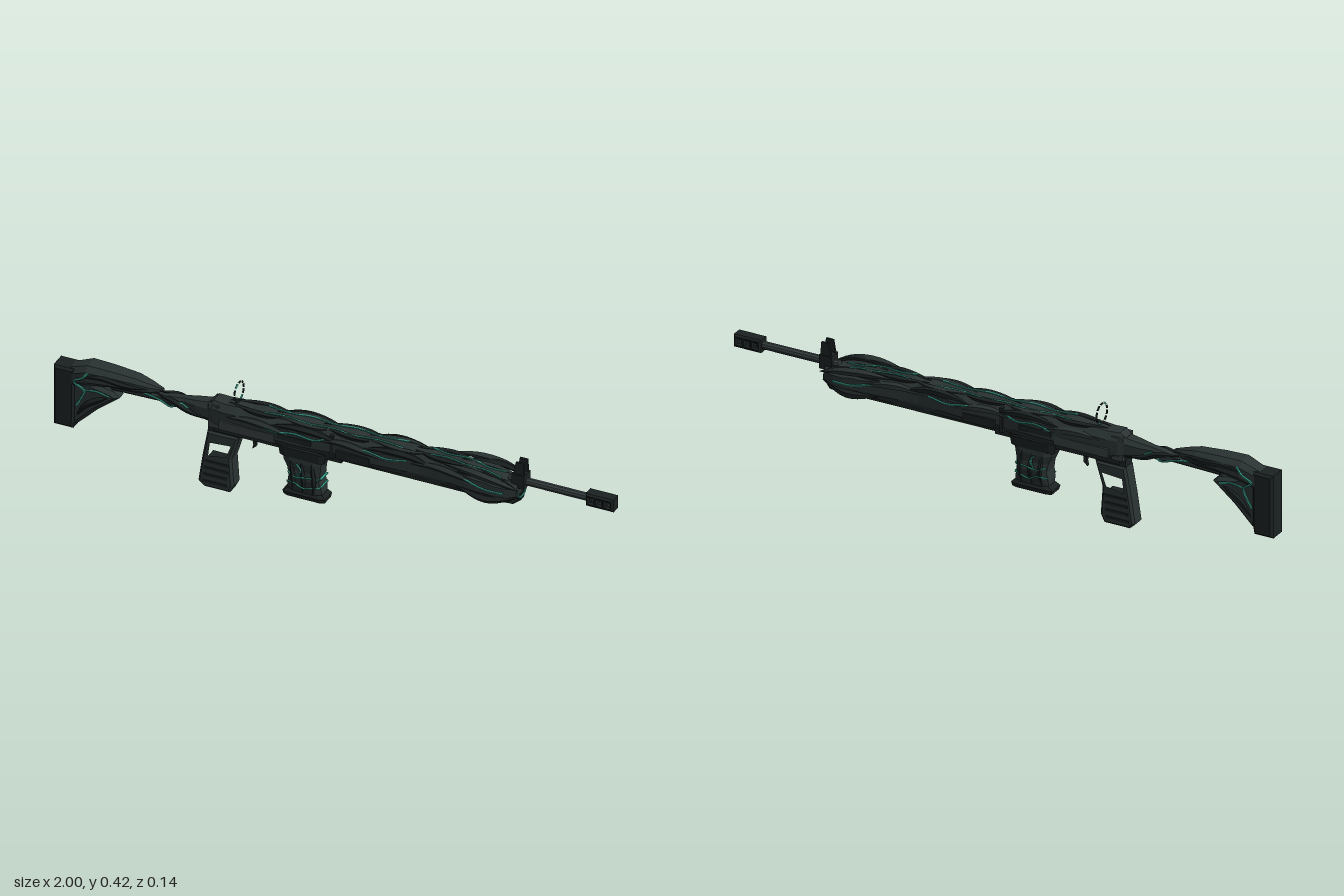
import * as THREE from 'three';

export function createModel() {
  const model = new THREE.Group();
  const mat = (name, color) => {
    const m = new THREE.MeshStandardMaterial({ color, flatShading: true });
    m.name = name;
    return m;
  };
  const shell = mat('dark shell', 0x2a3232);
  const dark = mat('deep shadow metal', 0x1b2121);
  const steel = mat('gunmetal', 0x343c3c);
  const teal = mat('teal vein', 0x37a08c);

  const add = (name, geo, material, x = 0, y = 0, z = 0) => {
    const m = new THREE.Mesh(geo, material);
    m.name = name;
    m.position.set(x, y, z);
    model.add(m);
    return m;
  };
  const box = (name, material, x, y, z, w, h, d) =>
    add(name, new THREE.BoxGeometry(w, h, d), material, x, y, z);

  // Chamfered cross-sections [x, bottom, top, halfWidth] joined along x
  function loft(sections, c = 0.25) {
    const pos = [], idx = [], n = 8;
    for (const [x, lo, hi, w] of sections) {
      const k = (hi - lo) * c, v = w * (1 - c * 1.6);
      for (const [y, z] of [[lo + k, w], [hi - k, w], [hi, v], [hi, -v],
        [hi - k, -w], [lo + k, -w], [lo, -v], [lo, v]]) pos.push(x, y, z);
    }
    const last = (sections.length - 1) * n;
    for (let s = 0; s < last; s += n) for (let j = 0; j < n; j++) {
      const a = s + j, b = s + (j + 1) % n;
      idx.push(a, a + n, b + n, a, b + n, b);
    }
    for (let j = 1; j < n - 1; j++) idx.push(0, j, j + 1, last, last + j + 1, last + j);
    let g = new THREE.BufferGeometry();
    g.setAttribute('position', new THREE.Float32BufferAttribute(pos, 3));
    g.setIndex(idx);
    g = g.toNonIndexed();
    g.computeVertexNormals();
    return g;
  }

  // Side profile extruded across z, with bevelled edges
  function plate(points, width, bevel = 0.006, holes = []) {
    const v = (list) => list.map(([x, y]) => new THREE.Vector2(x, y));
    const s = new THREE.Shape(v(points));
    holes.forEach((h) => s.holes.push(new THREE.Path(v(h))));
    const g = new THREE.ExtrudeGeometry(s, { depth: width - 2 * bevel, bevelEnabled: bevel > 0,
      bevelThickness: bevel, bevelSize: bevel, bevelOffset: -bevel, bevelSegments: 1 });
    g.translate(0, 0, -width / 2 + bevel);
    return g;
  }

  // Strand that swells in the middle and tapers at both ends
  function strand(name, pts, r, material, taper = true) {
    const curve = new THREE.CatmullRomCurve3(pts.map((p) => new THREE.Vector3(...p)));
    const seg = pts.length * 4, g = new THREE.TubeGeometry(curve, seg, r, 5, false);
    if (taper) {
      const p = g.attributes.position, v = new THREE.Vector3();
      for (let i = 0; i < p.count; i++) {
        const t = Math.floor(i / 6) / seg, c = curve.getPointAt(t);
        v.fromBufferAttribute(p, i).sub(c).multiplyScalar(0.1 + 0.9 * Math.sin(Math.PI * t)).add(c);
        p.setXYZ(i, v.x, v.y, v.z);
      }
    }
    add(name, g, material);
  }
  const bothSides = (fn) => [1, -1].forEach(fn);

  // Receiver and rippling handguard
  const ripple = [[-0.45, 0.036], [-0.4, 0.042], [-0.2, 0.05], [-0.1, 0.049], [0, 0.039],
    [0.15, 0.049], [0.32, 0.036], [0.5, 0.049], [0.6, 0.048], [0.66, 0.04]];
  const widthAt = (x) => {
    let i = 0;
    while (i < ripple.length - 2 && x > ripple[i + 1][0]) i++;
    const [a, b] = [ripple[i], ripple[i + 1]];
    return THREE.MathUtils.lerp(a[1], b[1], (x - a[0]) / (b[0] - a[0]));
  };
  const topAt = (x) => (x < 0.45 ? 0.34 : 0.34 - (x - 0.45) * 0.13);
  const run = (x0, x1, n, lo) => Array.from({ length: n + 1 }, (_, i) => {
    const x = x0 + (x1 - x0) * i / n;
    return [x, lo, topAt(x) - (i % 2) * 0.003, widthAt(x)];
  });
  add('receiver', loft([[-0.45, 0.25, 0.325, 0.03], ...run(-0.43, 0, 10, 0.24)]), shell);
  add('handguard', loft([...run(0, 0.62, 18, 0.243), [0.66, 0.262, 0.312, 0.036]]), shell);
  box('receiverFloor', dark, -0.2, 0.236, 0, 0.46, 0.02, 0.056);
  box('handguardFloor', dark, 0.27, 0.24, 0, 0.54, 0.012, 0.05);
  box('rearBlock', steel, -0.425, 0.285, 0, 0.04, 0.085, 0.07);
  box('handguardJoint', dark, 0, 0.287, 0, 0.012, 0.088, 0.084);
  bothSides((s) => {
    box('receiverSidePlate', steel, -0.3, 0.268, s * 0.046, 0.2, 0.032, 0.008);
    box('ejectionSlot', dark, -0.13, 0.285, s * 0.0495, 0.12, 0.018, 0.005);
    box('handguardSidePanel', dark, 0.08, 0.27, s * 0.046, 0.12, 0.03, 0.008);
  });
  add('handguardChin', loft([[0.42, 0.238, 0.265, 0.02], [0.56, 0.23, 0.262, 0.034],
    [0.64, 0.232, 0.265, 0.03], [0.665, 0.25, 0.275, 0.016]]), dark);

  // Overlapping strands grown along the shell
  bothSides((s) => {
    for (let i = 0; i < 6; i++) {
      const x0 = -0.38 + i * 0.165, y0 = i % 2 ? 0.318 : 0.3;
      strand('shellStrand', [0, 0.08, 0.16, 0.25].map((d, k) => {
        const x = Math.min(x0 + d, 0.655);
        return [x, y0 + [0, 0.012, 0.008, -0.012][k], s * (widthAt(x) - 0.002)];
      }), 0.013, i % 2 ? dark : shell);
      strand('topStrand', [0, 0.08, 0.15, 0.22].map((d, k) => {
        const x = Math.min(x0 + d, 0.655);
        return [x, topAt(x) - 0.002, s * [0.008, 0.026, 0.03, 0.014][k]];
      }), 0.01, i % 2 ? shell : dark);
    }
    strand('noseStrand', [[0.4, 0.335, s * 0.04], [0.5, 0.338, s * 0.052], [0.6, 0.325, s * 0.054],
      [0.67, 0.3, s * 0.04]], 0.014, shell);
    strand('lowerNoseStrand', [[0.45, 0.262, s * 0.042], [0.56, 0.248, s * 0.05], [0.665, 0.268, s * 0.03]],
      0.014, dark);
  });

  // Glowing veins on the body
  bothSides((s) => {
    const side = (pts) => strand('sideVein',
      pts.map(([x, y]) => [x, y, s * (widthAt(x) + 0.002)]), 0.0032, teal, false);
    side([[-0.26, 0.305], [-0.2, 0.298], [-0.13, 0.309], [-0.06, 0.3], [-0.02, 0.313]]);
    side([[0.06, 0.308], [0.13, 0.312], [0.2, 0.3], [0.27, 0.309]]);
    side([[0.4, 0.305], [0.48, 0.3], [0.55, 0.282], [0.62, 0.28]]);
    strand('topVein', [-0.25, -0.17, -0.09, -0.01, 0.07, 0.16, 0.25].map((x, i) =>
      [x, 0.342, s * (i % 2 ? 0.012 : 0.022)]), 0.003, teal, false);
    strand('topVein', [0.34, 0.4, 0.47, 0.54, 0.6].map((x, i) =>
      [x, topAt(x) + 0.002, s * (i % 2 ? 0.01 : 0.02)]), 0.003, teal, false);
  });
  strand('noseVein', [[0.662, 0.285, 0.027], [0.664, 0.268, 0.024], [0.666, 0.264, 0],
    [0.664, 0.268, -0.024], [0.662, 0.285, -0.027]], 0.003, teal, false);

  // Barrel and ported muzzle
  const barrel = add('barrel', new THREE.CylinderGeometry(0.014, 0.014, 0.3, 10), steel, 0.77, 0.32, 0);
  barrel.rotation.z = Math.PI / 2;
  const ports = [0.92, 0.95, 0.98].map((x) =>
    [[x - 0.007, 0.314], [x + 0.007, 0.314], [x + 0.007, 0.328], [x - 0.007, 0.328]]);
  add('muzzle', plate([[0.9, 0.298], [1, 0.298], [1, 0.344], [0.9, 0.344]], 0.046, 0.006, ports), dark);

  // Front sight: two ears, centre post and base
  box('sightBase', dark, 0.66, 0.325, 0, 0.045, 0.05, 0.046);
  bothSides((s) => add('sightEar', plate([[0.638, 0.33], [0.682, 0.33], [0.677, 0.395], [0.65, 0.395]],
    0.007, 0), dark, 0, 0, s * 0.0155));
  box('sightPost', steel, 0.66, 0.358, 0, 0.006, 0.03, 0.005);

  // Rear ring sight made of separate arcs
  for (let i = 0; i < 10; i++) {
    const arc = add('ringSightArc', new THREE.TorusGeometry(0.035, 0.0035, 5, 4, Math.PI / 5 - 0.15),
      i % 5 === 3 ? teal : dark, -0.35, 0.381, 0);
    arc.rotation.set(0, Math.PI / 2, 0);
    arc.rotateZ(i * Math.PI / 5);
  }

  // Grip frame with an open window and ribs
  add('grip', plate([[-0.452, 0.22], [-0.338, 0.22], [-0.365, 0.13], [-0.358, 0.03], [-0.372, 0.002],
    [-0.465, 0.002], [-0.485, 0.02], [-0.47, 0.12]], 0.058, 0.008,
  [[[-0.448, 0.185], [-0.357, 0.19], [-0.376, 0.13], [-0.455, 0.118]]]), shell);
  box('gripMount', dark, -0.395, 0.228, 0, 0.11, 0.03, 0.044);
  for (let i = 0; i < 4; i++) {
    box('gripRib', dark, -0.415 - i * 0.003, 0.105 - i * 0.026, 0, 0.085, 0.009, 0.064);
  }

  // Trigger
  add('trigger', plate([[-0.302, 0.23], [-0.286, 0.23], [-0.286, 0.192], [-0.3, 0.18], [-0.296, 0.198]],
    0.012, 0), dark);

  // Magazine, lofted upward from the base plate
  const upright = (sections, c) => loft(sections.map(([y, x0, x1, w]) => [y, -x1, -x0, w]), c)
    .rotateZ(Math.PI / 2);
  add('magazine', upright([[0.07, -0.165, -0.042, 0.028], [0.1, -0.165, -0.045, 0.034],
    [0.13, -0.16, -0.052, 0.038], [0.16, -0.165, -0.048, 0.034], [0.19, -0.178, -0.045, 0.037],
    [0.24, -0.18, -0.036, 0.032]], 0.18), shell);
  add('magazineBase', upright([[0.053, -0.178, -0.032, 0.03], [0.068, -0.182, -0.03, 0.034],
    [0.08, -0.165, -0.042, 0.028]], 0.12), dark);
  add('magazineWell', upright([[0.205, -0.19, -0.032, 0.036], [0.24, -0.195, -0.025, 0.038]], 0.12), dark);
  bothSides((s) => {
    for (const x of [-0.145, -0.108, -0.07]) {
      strand('magazineRib', [[x, 0.08, s * 0.03], [x + 0.006, 0.13, s * 0.036], [x - 0.004, 0.2, s * 0.035]],
        0.009, dark);
    }
    strand('magazineVein', [[-0.16, 0.147, s * 0.03], [-0.13, 0.14, s * 0.044], [-0.09, 0.146, s * 0.044],
      [-0.05, 0.14, s * 0.03]], 0.003, teal, false);
    strand('magazineVein', [[-0.165, 0.108, s * 0.028], [-0.13, 0.116, s * 0.042], [-0.105, 0.104, s * 0.043],
      [-0.045, 0.11, s * 0.028]], 0.003, teal, false);
    strand('magazineVein', [[-0.12, 0.143, s * 0.044], [-0.11, 0.17, s * 0.043], [-0.125, 0.19, s * 0.042]],
      0.003, teal, false);
  });
  for (const y of [0.11, 0.14]) box('magazineFrontVein', teal, -0.046, y, 0, 0.008, 0.004, 0.05);

  // Neck between receiver and stock
  add('neck', loft([[-0.8, 0.27, 0.3, 0.016], [-0.62, 0.274, 0.298, 0.014], [-0.58, 0.268, 0.306, 0.022],
    [-0.54, 0.272, 0.31, 0.018], [-0.5, 0.258, 0.316, 0.026], [-0.44, 0.252, 0.325, 0.032]]), shell);
  bothSides((s) => {
    strand('neckStrand', [[-0.64, 0.3, s * 0.008], [-0.57, 0.296, s * 0.024], [-0.52, 0.274, s * 0.022],
      [-0.45, 0.265, s * 0.03]], 0.011, dark);
    strand('neckVein', [[-0.7, 0.297, s * 0.016], [-0.63, 0.286, s * 0.018], [-0.58, 0.275, s * 0.025],
      [-0.55, 0.298, s * 0.024], [-0.52, 0.285, s * 0.026]], 0.0032, teal, false);
  });

  // Stock: butt pad, tapering cheek piece and lower brace
  add('buttPad', plate([[-1, 0.1], [-0.93, 0.1], [-0.925, 0.13], [-0.925, 0.325], [-1, 0.325]], 0.072, 0.008), dark);
  add('cheekPiece', loft([[-0.945, 0.25, 0.325, 0.034], [-0.88, 0.275, 0.35, 0.042], [-0.8, 0.288, 0.348, 0.04],
    [-0.71, 0.29, 0.342, 0.033], [-0.66, 0.297, 0.33, 0.022], [-0.62, 0.309, 0.319, 0.007]]), shell);
  add('lowerBrace', plate([[-0.94, 0.105], [-0.915, 0.12], [-0.85, 0.185], [-0.77, 0.25], [-0.79, 0.268],
    [-0.85, 0.28], [-0.94, 0.31]], 0.056, 0.012), shell);
  bothSides((s) => {
    strand('cheekStrand', [[-0.92, 0.3, s * 0.036], [-0.83, 0.325, s * 0.04], [-0.73, 0.315, s * 0.033],
      [-0.64, 0.314, s * 0.014]], 0.01, dark);
    strand('braceStrand', [[-0.92, 0.15, s * 0.026], [-0.88, 0.205, s * 0.029], [-0.79, 0.256, s * 0.022]],
      0.011, dark);
    strand('stockVein', [[-0.87, 0.335, s * 0.042], [-0.89, 0.31, s * 0.044], [-0.925, 0.285, s * 0.039],
      [-0.89, 0.255, s * 0.031], [-0.9, 0.225, s * 0.03], [-0.92, 0.19, s * 0.029]], 0.004, teal, false);
    strand('stockVein', [[-0.89, 0.255, s * 0.03], [-0.85, 0.262, s * 0.03], [-0.8, 0.252, s * 0.028]],
      0.0032, teal, false);
  });

  return model;
}
